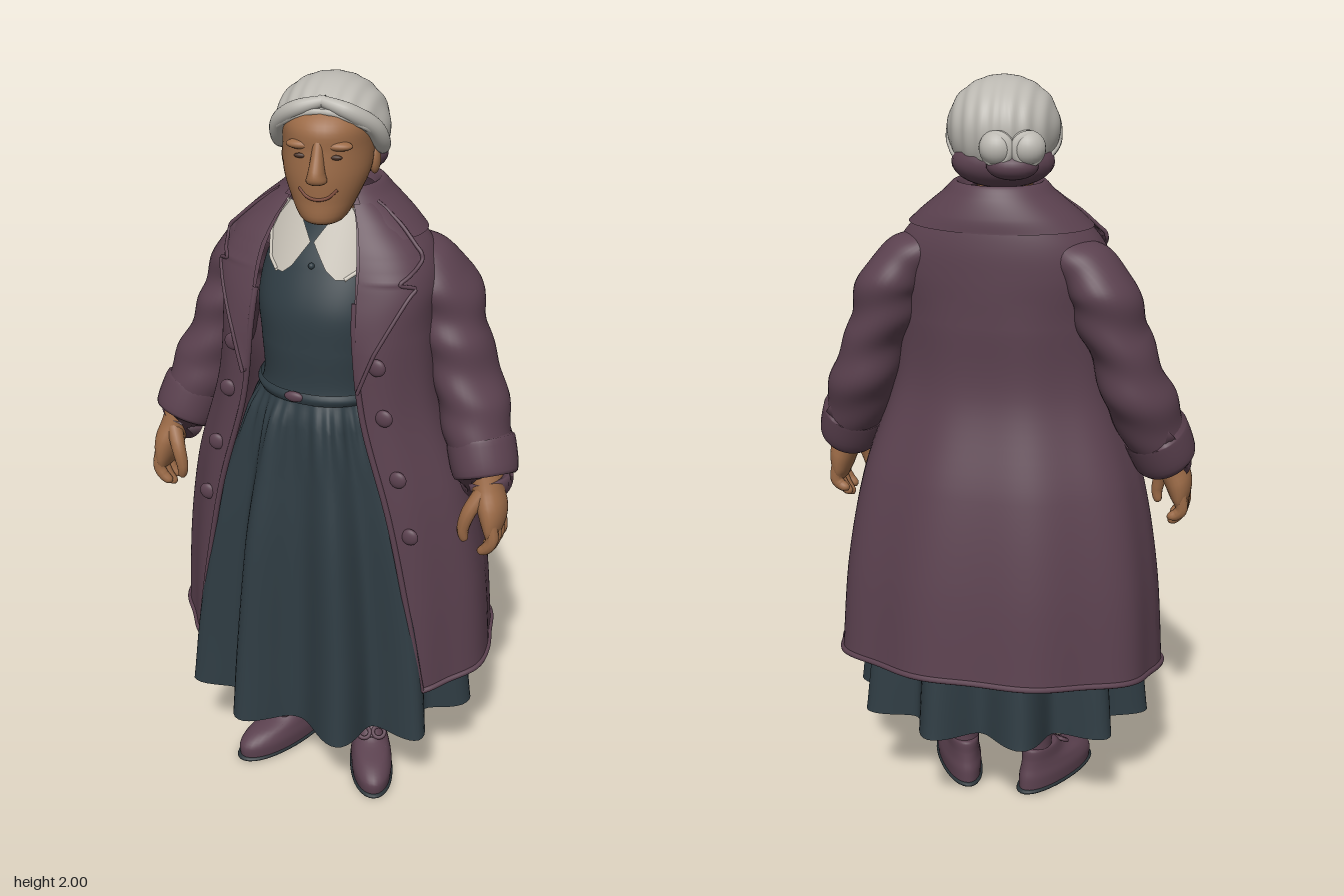
import * as THREE from 'three';
import { ParametricGeometry } from 'three/addons/geometries/ParametricGeometry.js';

const mat = (name, color) => {
  const m = new THREE.MeshStandardMaterial({ color, side: THREE.DoubleSide });
  m.name = name;
  return m;
};
const V = (x, y, z) => new THREE.Vector3(x, y, z);

// smooth interpolation through a list of rows
function sample(rows, t) {
  const n = rows.length - 1, k = Math.min(Math.floor(Math.max(t, 0) * n), n - 1), f = t * n - k;
  const r = (i) => rows[Math.max(0, Math.min(n, i))];
  return rows[0].map((_, c) => {
    const a = r(k - 1)[c], b = r(k)[c], d = r(k + 1)[c], e = r(k + 2)[c];
    return b + 0.5 * f * (d - a + f * (2 * a - 5 * b + 4 * d - e + f * (3 * (b - d) + e - a)));
  });
}
const linear = (rows, y) => {
  let k = 0;
  while (k < rows.length - 2 && rows[k + 1][0] < y) k++;
  const f = (y - rows[k][0]) / (rows[k + 1][0] - rows[k][0]);
  return rows[k].map((a, c) => a + (rows[k + 1][c] - a) * f);
};
// [y, halfWidth, frontZ, backZ, ...] to [x, y, z, rx, rz, ...]
const body = (rows) => rows.map(([y, w, f, b, ...o]) => [0, y, (f + b) / 2, w, (f - b) / 2, ...o]);
const spow = (a, p) => Math.sign(a) * Math.pow(Math.abs(a), p);

// surface point of a stack of rings [x, y, z, rx, rz, openingX];
// pow < 1 squares off the front half, lift raises the hem towards the back
function ringPoint(rows, { flat = true, pow = 1, lift = 0, mod } = {}) {
  return (u, v, target) => {
    const [x, y, z, rx, rz, open = 0] = sample(rows, v);
    const start = open ? Math.asin(Math.pow(open / rx, 1 / pow)) : 0;
    const th = start + u * (2 * Math.PI - 2 * start);
    const T = V(0, 1, 0);
    if (!flat) {
      const a = sample(rows, Math.max(0, v - 0.01)), b = sample(rows, Math.min(1, v + 0.01));
      T.set(b[0] - a[0], b[1] - a[1], b[2] - a[2]).normalize();
    }
    const B = V(0, 0, 1).addScaledVector(T, -T.z).normalize(), A = V(0, 0, 0).crossVectors(T, B);
    const k = mod ? mod(th, v) : 0, p = Math.cos(th) > 0 ? pow : 1;
    target.set(x, y, z)
      .addScaledVector(A, (Math.max(rx, 0.001) + k) * spow(Math.sin(th), p))
      .addScaledVector(B, (Math.max(rz, 0.001) + k) * spow(Math.cos(th), p));
    target.y -= target.z * lift * Math.max(0, 1 - v * 2.5);
    return target;
  };
}

export function createModel() {
  const coatM = mat('plum wool', 0x5b414f), dressM = mat('slate cloth', 0x2f3c43);
  const skinM = mat('skin', 0x9c6b47), hairM = mat('grey hair', 0xbbb8b1);
  const whiteM = mat('cream collar', 0xcac4b9), soleM = mat('dark sole', 0x2a3338);
  const darkM = mat('dark eye', 0x4a3226), lipM = mat('lip', 0x7a4837);
  const model = new THREE.Group();
  let parent = model;
  const add = (name, geo, m) => {
    const mesh = new THREE.Mesh(geo, m);
    mesh.name = name;
    parent.add(mesh);
    return mesh;
  };
  const surf = (name, fn, m, nu = 32, nv = 24) => add(name, new ParametricGeometry(fn, nu, nv), m);
  const loft = (name, rows, m, opts, nu, nv) => surf(name, ringPoint(rows, opts), m, nu, nv);
  const ball = (name, m, x, y, z, rx, ry = rx, rz = rx) => {
    const b = add(name, new THREE.SphereGeometry(1, 24, 16), m);
    b.position.set(x, y, z);
    b.scale.set(rx, ry, rz);
    return b;
  };
  const tube = (name, pts, r, m) =>
    add(name, new THREE.TubeGeometry(new THREE.CatmullRomCurve3(pts), pts.length * 4, r, 8), m);
  // rounded member that follows its own rows, mirrored by s
  const limb = (s, name, rows, m, opts = {}, nu = 16, nv = 16) =>
    loft(name, rows.map(([x, ...r]) => [s * x, ...r]), m, { flat: false, ...opts }, nu, nv);

  // dress: bodice flowing into a rippled skirt, closed underneath
  const dressRows = body([
    [0.278, 0.372, 0.305, -0.288], [0.5, 0.352, 0.29, -0.265], [0.81, 0.3, 0.272, -0.22],
    [1.0, 0.25, 0.25, -0.18], [1.15, 0.2, 0.23, -0.145], [1.24, 0.165, 0.2, -0.13],
    [1.35, 0.17, 0.197, -0.13], [1.45, 0.18, 0.188, -0.13], [1.55, 0.165, 0.148, -0.12],
    [1.62, 0.12, 0.11, -0.09], [1.68, 0.07, 0.085, -0.05]]);
  const skirtRipple = (th, v) => {
    const k = Math.max(0, 1 - v * 2.1), waist = Math.max(0, 1 - Math.abs(v - 0.4) * 11);
    return -0.044 * Math.pow(k, 0.9) * Math.cos(10 * th) + 0.004 * waist * Math.cos(36 * th);
  };
  loft('dress', dressRows, dressM, { pow: 0.88, lift: 0.05, mod: skirtRipple }, 180, 70);
  loft('skirtUnderside', body([[0.278, 0.371, 0.304, -0.287], [0.32, 0.32, 0.25, -0.235],
    [0.35, 0.18, 0.14, -0.13], [0.355, 0.001, 0.001, -0.001]]), dressM,
  { pow: 0.88, lift: 0.05, mod: (th, v) => -0.044 * (1 - v) * Math.cos(10 * th) }, 180, 16);
  loft('belt', body([[1.215, 0.17, 0.212, -0.13], [1.23, 0.178, 0.216, -0.13],
    [1.245, 0.17, 0.21, -0.13]]), dressM, { pow: 0.88 }, 48, 6);
  ball('beltBuckle', coatM, -0.02, 1.232, 0.212, 0.026, 0.014, 0.01);
  ball('dressButton', dressM, 0, 1.56, 0.146, 0.008);

  // coat: open-fronted shell with a hem that rises at the back
  const coatRows = body([
    [0.435, 0.445, 0.252, -0.33, 0.33], [0.7, 0.425, 0.245, -0.3, 0.285], [0.95, 0.38, 0.24, -0.25, 0.235],
    [1.2, 0.3, 0.23, -0.175, 0.165], [1.4, 0.28, 0.222, -0.17, 0.14], [1.52, 0.285, 0.192, -0.168, 0.13],
    [1.6, 0.255, 0.16, -0.163, 0.12], [1.67, 0.185, 0.12, -0.148, 0.1], [1.73, 0.11, 0.08, -0.12, 0.07]]);
  const coatPoint = ringPoint(coatRows, {
    pow: 0.82, lift: 0.15, mod: (th, v) => 0.008 * Math.max(0, 1 - v * 1.8) * Math.cos(9 * th) });
  surf('coatBody', coatPoint, coatM, 120, 60);
  const along = (n, f) => Array.from({ length: n + 1 }, (_, i) => coatPoint(...f(i / n), V(0, 0, 0)));
  tube('coatHem', along(60, (t) => [t, 0]), 0.008, coatM);
  for (const u of [0, 1]) tube('coatFrontEdge', along(24, (t) => [u, t * 0.6]), 0.008, coatM);
  const coatZ = (x, y) => {
    let lo = 0, hi = 1;
    for (let i = 0; i < 24; i++) {
      const m = (lo + hi) / 2;
      if (sample(coatRows, m)[1] < y) lo = m; else hi = m;
    }
    const [, , z, rx, rz] = sample(coatRows, lo);
    const s = Math.pow(Math.min(Math.abs(x) / rx, 0.97), 1 / 0.82);
    return z + rz * Math.pow(1 - s * s, 0.41);
  };
  // turned-down collar around the neck
  loft('coatCollar', body([[1.635, 0.238, 0.148, -0.16, 0.2], [1.67, 0.2, 0.13, -0.156, 0.13],
    [1.715, 0.145, 0.1, -0.14, 0.095], [1.745, 0.112, 0.085, -0.118, 0.075], [1.72, 0.095, 0.07, -0.095, 0.07]]),
  coatM, { pow: 0.9 }, 64, 20);

  const lapelRows = [[1.28, 0.15, 0.156], [1.38, 0.14, 0.19], [1.5, 0.137, 0.245], [1.535, 0.136, 0.262],
    [1.55, 0.135, 0.222], [1.565, 0.134, 0.25], [1.6, 0.13, 0.262], [1.66, 0.11, 0.2], [1.71, 0.085, 0.13]];
  const creamRows = [[1.54, 0.07, 0.09], [1.56, 0.045, 0.118], [1.62, 0.004, 0.132], [1.66, 0.03, 0.115],
    [1.7, 0.06, 0.085]];
  // flat flap between an inner and an outer edge, laid on a front surface
  const flap = (name, rows, s, zAt, m) => {
    const y0 = rows[0][0], y1 = rows[rows.length - 1][0];
    const at = (u, v, target) => {
      const y = y0 + (y1 - y0) * v, [, a, b] = linear(rows, y), k = s > 0 ? u : 1 - u;
      const x = a + (b - a) * k;
      return target.set(s * x, y, zAt(x, y, k));
    };
    surf(name, at, m, 10, 44);
    const outer = s > 0 ? 1 : 0;
    tube(name + 'Edge', Array.from({ length: 30 }, (_, i) => at(outer, i / 29, V(0, 0, 0))), 0.005, m);
  };

  for (const s of [1, -1]) {
    flap('lapel', lapelRows, s, (x, y, k) => coatZ(x, y) + 0.006 + 0.012 * k, coatM);
    flap('creamCollar', creamRows, s, (x, y) => 0.172 - (y - 1.55) * 0.45 - x * x * 3, whiteM);
    for (const [x, y] of [[0.195, 1.345], [0.215, 1.21], [0.255, 1.045], [0.29, 0.885]])
      ball('coatButton', coatM, s * x, y, coatZ(x, y) + 0.008, 0.023, 0.023, 0.011);

    // sleeve with soft slanting folds, and its cuff
    const folds = (th, v) => Math.sin(Math.PI * v) * (0.005 * Math.sin(v * 30 + 2.5 * Math.sin(th * s)) +
      0.004 * Math.sin(v * 19 - 2 * Math.cos(th)));
    limb(s, 'sleeve', [[0.18, 1.575, -0.04, 0.05, 0.08], [0.262, 1.5, -0.05, 0.082, 0.108],
      [0.316, 1.35, -0.045, 0.082, 0.105], [0.378, 1.18, -0.015, 0.086, 0.106], [0.43, 1.04, 0.035, 0.076, 0.08]],
    coatM, { mod: folds }, 40, 60);
    limb(s, 'cuff', [[0.408, 1.105, 0.01, 0.078, 0.09], [0.41, 1.1, 0.012, 0.087, 0.096],
      [0.435, 1.025, 0.037, 0.082, 0.088], [0.437, 1.02, 0.04, 0.05, 0.05]], coatM, {}, 32, 16);

    // hand
    limb(s, 'palm', [[0.432, 1.07, 0.045, 0.042, 0.044], [0.45, 1.0, 0.06, 0.04, 0.048],
      [0.468, 0.95, 0.07, 0.037, 0.058], [0.475, 0.905, 0.075, 0.026, 0.056], [0.474, 0.875, 0.075, 0.01, 0.045]], skinM, {}, 24);
    for (let i = 0; i < 4; i++) {
      const z = 0.036 + i * 0.025, tip = [0.845, 0.825, 0.815, 0.83][i];
      limb(s, 'finger', [[0.478, 0.92, z, 0.017, 0.016], [0.484, 0.88, z + 0.002, 0.017, 0.016],
        [0.473, (0.88 + tip) / 2, z + 0.002, 0.016, 0.015], [0.455, tip + 0.008, z, 0.012, 0.012],
        [0.45, tip, z, 0.001, 0.001]], skinM, {}, 10);
    }
    limb(s, 'thumb', [[0.445, 1.0, 0.085, 0.022, 0.024], [0.42, 0.95, 0.112, 0.02, 0.02],
      [0.407, 0.9, 0.118, 0.016, 0.016], [0.41, 0.868, 0.116, 0.011, 0.011], [0.412, 0.86, 0.116, 0.001, 0.001]], skinM, {}, 10);

    // leg and laced shoe with the toe turned out
    limb(s, 'stocking', [[0.105, 0.07, -0.005, 0.04, 0.045], [0.108, 0.15, 0, 0.04, 0.044],
      [0.11, 0.27, 0.002, 0.055, 0.06], [0.11, 0.4, 0, 0.06, 0.066]], coatM, { flat: true }, 24);
    const foot = new THREE.Group();
    foot.name = 'shoe';
    foot.position.set(s * 0.11, 0, 0);
    foot.rotation.y = s * 0.45;
    model.add(foot);
    parent = foot;
    const toe = (th) => 0.006 * Math.cos(th) + 0.004 * Math.cos(2 * th);
    loft('sole', [[0, 0, 0.07, 0.01, 0.05], [0, 0, 0.07, 0.058, 0.145], [0, 0.012, 0.07, 0.061, 0.147],
      [0, 0.014, 0.07, 0.02, 0.08]], soleM, { mod: toe }, 36, 12);
    loft('shoeUpper', [[0, 0.01, 0.07, 0.06, 0.146], [0, 0.045, 0.07, 0.062, 0.144], [0, 0.073, 0.054, 0.056, 0.12],
      [0, 0.098, 0.016, 0.048, 0.077], [0, 0.132, -0.002, 0.044, 0.055], [0, 0.13, 0, 0.03, 0.03]], coatM, { mod: toe }, 36, 24);
    for (const k of [-1, 1]) {
      const bow = add('laceBow', new THREE.TorusGeometry(0.017, 0.006, 8, 16), coatM);
      bow.position.set(k * 0.021, 0.116, 0.08);
      bow.rotation.set(-1, 0, 0);
    }
    for (const z of [0.08, 0.105])
      tube('lace', [V(-0.038, 0.082, z), V(0, 0.19 - z, z + 0.008), V(0.038, 0.082, z)], 0.005, coatM);
    parent = model;
  }

  // neck and head, turned slightly to her left
  loft('neck', [[0, 1.56, 0, 0.08, 0.075], [0, 1.63, 0.01, 0.065, 0.065], [0, 1.75, 0.035, 0.062, 0.07]], skinM);
  const head = new THREE.Group();
  head.name = 'head';
  head.position.x = -0.006;
  head.rotation.y = 0.2;
  model.add(head);
  parent = head;
  loft('face', body([[1.668, 0.02, 0.14, 0.09], [1.682, 0.054, 0.174, 0.05], [1.735, 0.084, 0.178, 0],
    [1.79, 0.106, 0.18, -0.06], [1.85, 0.11, 0.176, -0.09], [1.9, 0.108, 0.172, -0.09],
    [1.935, 0.092, 0.14, -0.08], [1.965, 0.06, 0.08, -0.05], [1.975, 0.01, 0.02, 0]]), skinM, {}, 40, 36);
  loft('nose', [[0, 1.778, 0.175, 0.012, 0.012], [0, 1.788, 0.184, 0.025, 0.027], [0, 1.81, 0.184, 0.02, 0.029],
    [0, 1.85, 0.172, 0.014, 0.018], [0, 1.885, 0.16, 0.012, 0.012]], skinM, {}, 20, 20);
  tube('mouth', [V(-0.046, 1.765, 0.167), V(-0.025, 1.746, 0.175), V(0, 1.741, 0.18), V(0.025, 1.746, 0.175),
    V(0.046, 1.765, 0.167)], 0.004, lipM);

  // swept-back hair cap covering the temples
  const hairPoint = (u, v, target) => {
    const th = u * 2 * Math.PI, c = Math.cos(th);
    const ph = (1 - v) * (1.8 - 0.625 * c - 0.13 * Math.cos(2 * th)) + 0.001;
    const side = ph < Math.PI / 2 ? Math.sin(ph) : 1 - 0.35 * Math.pow(ph - Math.PI / 2, 2);
    const x = side * Math.sin(th);
    const r = 1 + 0.014 * Math.cos(24 * x + 3 * side * c) * side;
    return target.set(0.141 * r * x, 1.873 + 0.125 * r * Math.cos(ph), 0.006 + 0.15 * r * side * c);
  };
  surf('hairCap', hairPoint, hairM, 140, 36);
  tube('hairline', Array.from({ length: 41 }, (_, i) => hairPoint(i / 40, 0.02, V(0, 0, 0))), 0.008, hairM);
  for (const s of [1, -1]) {
    limb(s, 'hairWave', [[-0.01, 1.962, 0.118, 0.012, 0.012], [0.06, 1.94, 0.122, 0.02, 0.02],
      [0.112, 1.895, 0.078, 0.022, 0.024], [0.126, 1.84, 0.025, 0.02, 0.024], [0.12, 1.805, -0.03, 0.004, 0.004]], hairM, {}, 20, 28);
    ball('eye', darkM, s * 0.042, 1.842, 0.166, 0.016, 0.006, 0.006);
    ball('brow', skinM, s * 0.044, 1.866, 0.152, 0.036, 0.012, 0.02);
    ball('ear', skinM, s * 0.108, 1.8, 0.025, 0.014, 0.036, 0.022);
  }
  // nape and twisted bun
  ball('napeHair', coatM, 0, 1.795, -0.048, 0.128, 0.064, 0.08);
  for (const x of [-0.062, 0.012]) {
    ball('bunLobe', hairM, x, 1.842, -0.138, 0.044, 0.043, 0.04);
    const coil = add('bunCoil', new THREE.TorusGeometry(0.031, 0.014, 10, 28), hairM);
    coil.position.set(x, 1.84, -0.148);
    coil.rotation.y = x < -0.02 ? 0.3 : -0.3;
  }
  ball('bunBase', coatM, -0.025, 1.798, -0.132, 0.064, 0.034, 0.042);
  return model;
}
